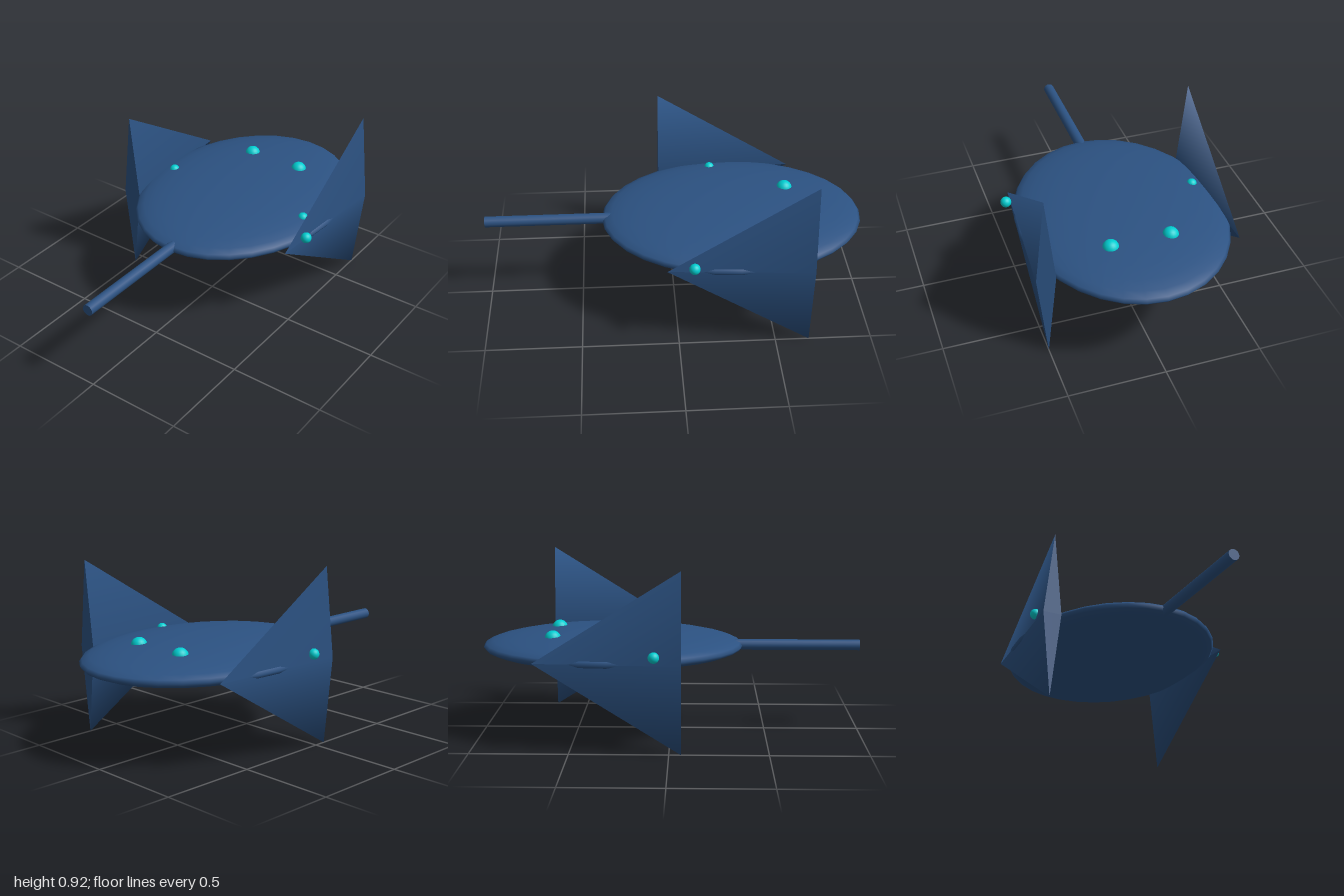
import * as THREE from 'three';

export function createModel() {
  const group = new THREE.Group();
  const blue = new THREE.MeshStandardMaterial({ color: 0x2c5282 });
  blue.name = 'deepBlue';
  const cyan = new THREE.MeshStandardMaterial({ color: 0x00ced1 });
  cyan.name = 'cyanGlow';

  const add = (name, geometry, material, x, y, z) => {
    const mesh = new THREE.Mesh(geometry, material);
    mesh.name = name;
    mesh.position.set(x, y, z);
    group.add(mesh);
    return mesh;
  };
  const midY = 0.465;

  // Flattened disc body
  const body = new THREE.SphereGeometry(1, 32, 16).scale(0.688, 0.083, 0.535);
  add('body', body, blue, 0.307, midY, 0);

  // Straight tail rod
  const tail = new THREE.CylinderGeometry(0.029, 0.029, 0.7, 16).rotateZ(Math.PI / 2);
  add('tail', tail, blue, -0.65, midY, 0);

  // Four-sided flat cones, pointing opposite ways on the two sides
  for (const side of [1, -1]) {
    const fin = new THREE.ConeGeometry(0.46, 0.735, 4)
      .scale(1, 1, 0.05 / 0.46)
      .rotateZ(side * Math.PI / 2);
    add(side > 0 ? 'frontFin' : 'backFin', fin, blue, 0.307, midY, side * 0.5);

    // Glowing domes, mirrored front to back
    const dome = (name, r, x, y, z) =>
      add(name, new THREE.SphereGeometry(r, 20, 14), cyan, x, y, side * z);
    dome('eye', 0.042, 0.61, 0.524, 0.155);
    dome('innerLight', 0.027, 0.225, 0.506, 0.425);
    dome('outerLight', 0.028, 0.073, 0.506, 0.54);
  }
  return group;
}
